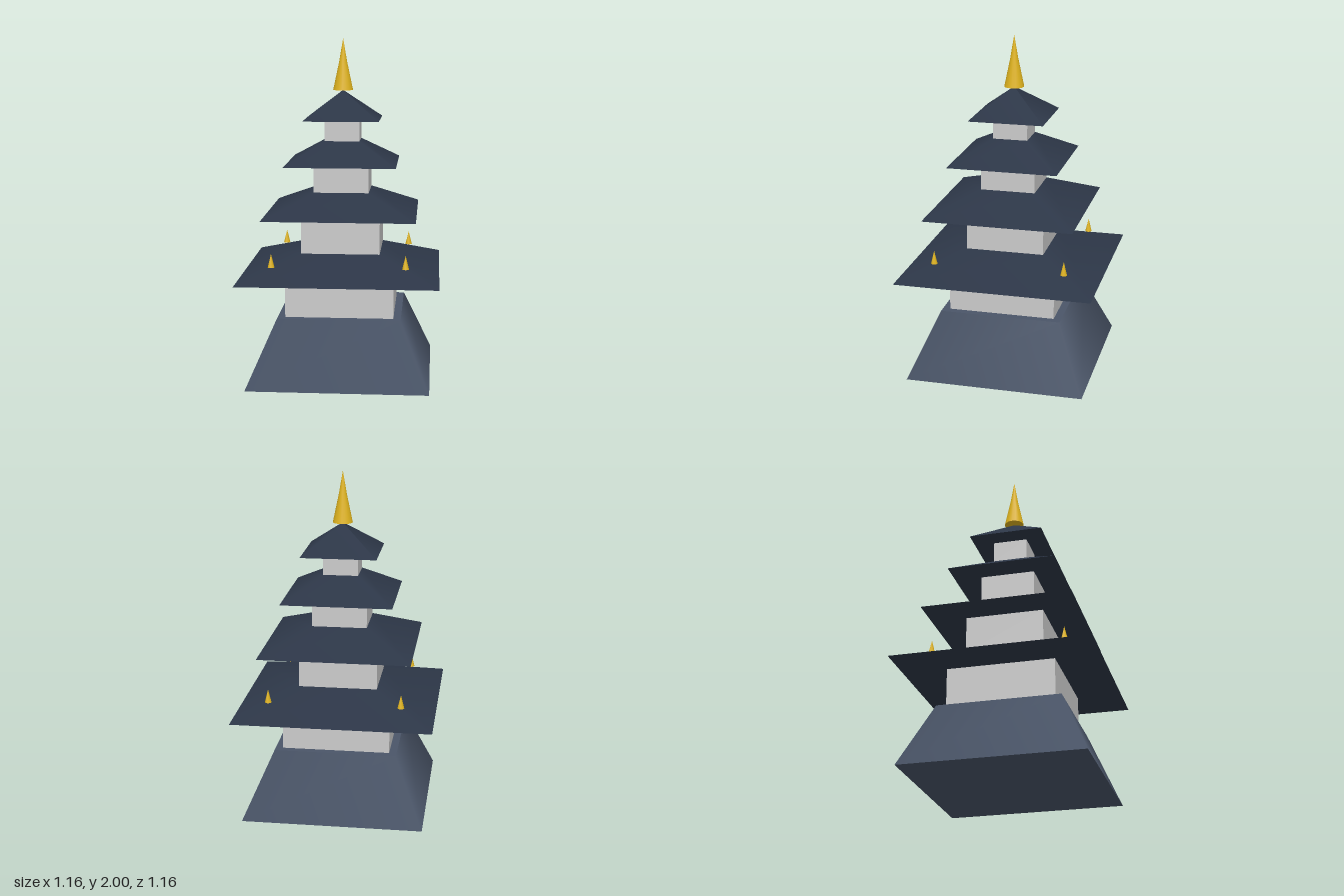
import * as THREE from 'three';

const material = (color) => new THREE.MeshStandardMaterial({ color });

export function createModel() {
  const group = new THREE.Group();
  const stone = material(0x4a5568);
  const tile = material(0x2d3748);
  const wall = material(0xcccccc);
  const gold = material(0xe0b41e);

  const add = (name, geometry, mat, x, y, z) => {
    const mesh = new THREE.Mesh(geometry, mat);
    mesh.name = name;
    mesh.position.set(x, y, z);
    group.add(mesh);
  };

  // Square frustum given by half widths and heights, softly shaded around its corners
  const frustum = (name, mat, bottom, top, y0, y1) => {
    const geometry = new THREE.CylinderGeometry(top * Math.SQRT2, bottom * Math.SQRT2, y1 - y0, 4, 1, false, Math.PI / 4);
    add(name, geometry, mat, 0, (y0 + y1) / 2, 0);
  };

  // Sloped stone base
  frustum('base', stone, 0.53, 0.36, 0, 0.39);

  // Storeys: wall half width, wall bottom, eave half width, eave height, roof top half width, roof top
  const storeys = [
    [0.316, 0.39, 0.58, 0.624, 0.23, 0.752],
    [0.231, 0.752, 0.444, 0.975, 0.163, 1.104],
    [0.162, 1.104, 0.325, 1.27, 0.103, 1.402],
    [0.103, 1.402, 0.222, 1.527, 0, 1.697],
  ];
  storeys.forEach(([w, y0, eave, y1, top, y2], i) => {
    add(`wall${i + 1}`, new THREE.BoxGeometry(2 * w, y1 - y0, 2 * w), wall, 0, (y0 + y1) / 2, 0);
    frustum(`roof${i + 1}`, tile, eave, top, y1, y2);
  });

  // Slightly concave spire with a closed foot
  const spire = [[0, 0], [0.059, 0], [0.059, 0], [0.024, 0.165], [0, 0.303]]
    .map(([r, y]) => new THREE.Vector2(r, y));
  add('spire', new THREE.LatheGeometry(spire, 16), gold, 0, 1.697, 0);

  // Small finials on the corners of the lowest roof
  for (const x of [-0.387, 0.387]) {
    for (const z of [-0.387, 0.387]) {
      add('cornerFinial', new THREE.ConeGeometry(0.02, 0.08, 8), gold, x, 0.74, z);
    }
  }
  return group;
}
